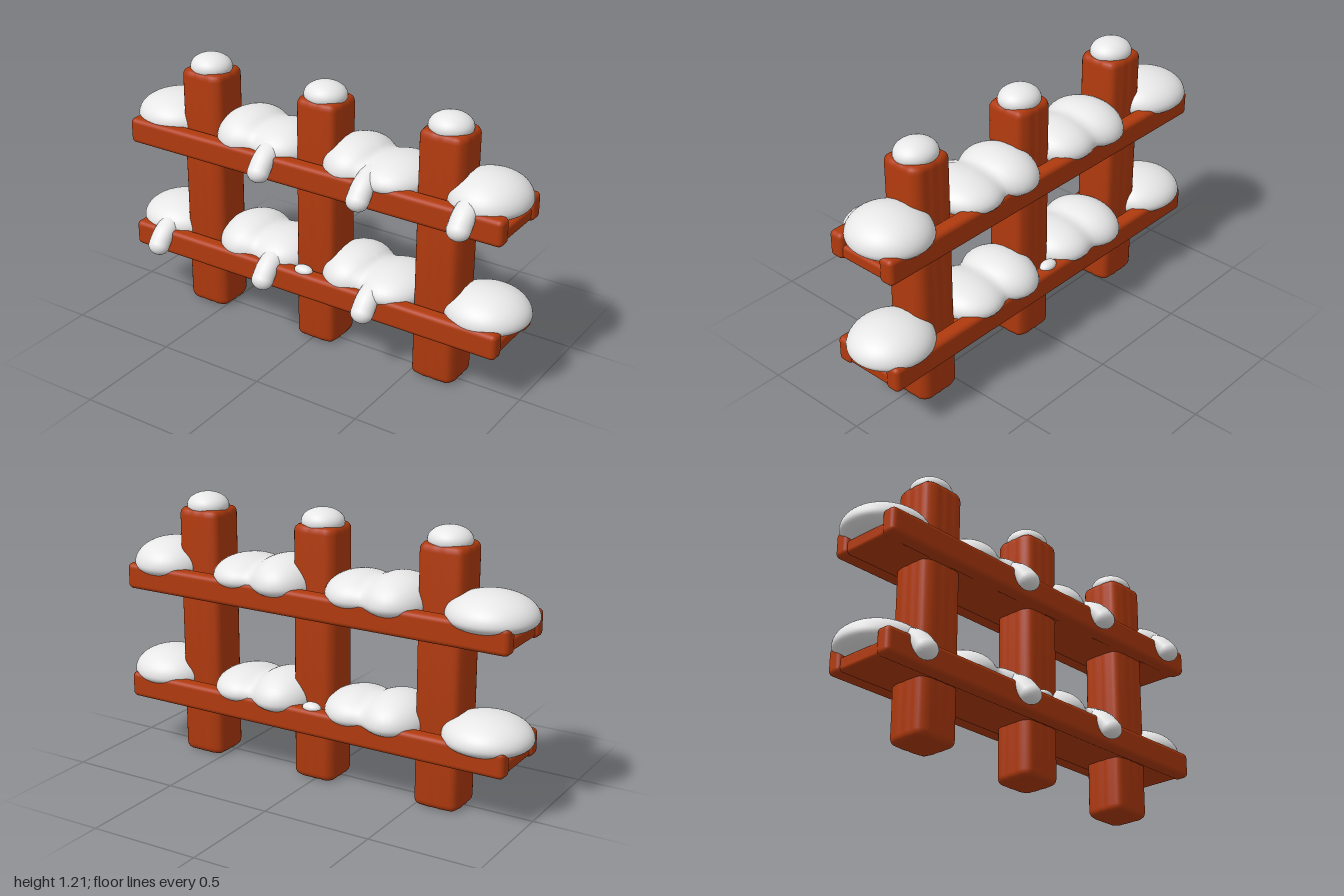
import * as THREE from 'three';
import { mergeVertices, toCreasedNormals } from 'three/addons/utils/BufferGeometryUtils.js';
import { RoundedBoxGeometry } from 'three/addons/geometries/RoundedBoxGeometry.js';

const wood = new THREE.MeshStandardMaterial({ color: 0xb03a0e });
wood.name = 'red brown wood';
const snow = new THREE.MeshStandardMaterial({ color: 0xe8e8e8 });
snow.name = 'snow white';

const POST_Z = -0.017;

function add(parent, name, geometry, material, x = 0, y = 0, z = 0) {
  const mesh = new THREE.Mesh(geometry, material);
  mesh.name = name;
  mesh.position.set(x, y, z);
  parent.add(mesh);
  return mesh;
}

// Weld vertices so that normals are smooth across seams
function weld(geometry) {
  geometry.deleteAttribute('uv');
  geometry.deleteAttribute('normal');
  const welded = mergeVertices(geometry, 1e-4);
  welded.computeVertexNormals();
  return welded;
}

// Rounded square post with shallow vertical grain grooves
function postGeometry(width, depth, height, seed) {
  const points = [];
  const n = 64;
  for (let i = 0; i < n; i++) {
    const a = (i / n) * Math.PI * 2;
    const c = Math.cos(a), s = Math.sin(a);
    const r = 1 / Math.pow(Math.abs(c) ** 5 + Math.abs(s) ** 5, 0.2);
    const groove = 1 - 0.012 * (1 + Math.sin(a * 13 + seed));
    points.push(new THREE.Vector2(c * r * groove * width / 2, s * r * groove * depth / 2));
  }
  const bevel = 0.03;
  const geometry = new THREE.ExtrudeGeometry(new THREE.Shape(points), {
    depth: height - bevel * 2, bevelThickness: bevel, bevelSize: 0.024, bevelOffset: -0.024,
    bevelSegments: 4, steps: 1,
  });
  geometry.translate(0, 0, bevel);
  geometry.rotateX(-Math.PI / 2);
  return toCreasedNormals(weld(geometry), 0.7);
}

// Snow drift: blended ellipsoids, flattened below, found by stepping out from the centre
function driftGeometry(blobs) {
  const centre = new THREE.Vector3();
  blobs.forEach((b) => centre.add(new THREE.Vector3(b.x, 0, b.z)));
  centre.divideScalar(blobs.length);
  const field = (p) => {
    let d = Infinity;
    for (const b of blobs) {
      const ry = p.y < 0 ? 0.065 : b.ry;
      const e = Math.hypot((p.x - b.x) / b.rx, p.y / ry, (p.z - b.z) / b.rz) - 1;
      if (d === Infinity) { d = e; continue; }
      const k = 0.25, h = Math.max(k - Math.abs(d - e), 0) / k;
      d = Math.min(d, e) - h * h * k / 4;
    }
    return d;
  };
  const geometry = new THREE.SphereGeometry(1, 56, 36);
  const pos = geometry.attributes.position;
  const dir = new THREE.Vector3(), p = new THREE.Vector3();
  for (let i = 0; i < pos.count; i++) {
    dir.fromBufferAttribute(pos, i);
    dir.set(dir.x * 0.25, dir.y * 0.11, dir.z * 0.19).normalize();
    let lo = 0, hi = 0.6;
    for (let j = 0; j < 24; j++) {
      const mid = (lo + hi) / 2;
      p.copy(centre).addScaledVector(dir, mid);
      if (field(p) < 0) lo = mid; else hi = mid;
    }
    p.copy(centre).addScaledVector(dir, lo);
    pos.setXYZ(i, p.x, p.y, p.z);
  }
  return weld(geometry);
}

// Hanging tongue of snow with a round tip
function addDrip(parent, x, y) {
  const drip = new THREE.Group();
  drip.name = 'snowDrip';
  const path = new THREE.CatmullRomCurve3([
    new THREE.Vector3(0, 0.025, 0.02), new THREE.Vector3(0, 0.01, 0.09),
    new THREE.Vector3(0, -0.022, 0.15), new THREE.Vector3(0, -0.066, 0.188),
  ]);
  add(drip, 'dripTongue', new THREE.TubeGeometry(path, 14, 0.043, 18), snow);
  add(drip, 'dripTip', new THREE.SphereGeometry(0.043, 18, 14), snow, 0, -0.066, 0.188);
  drip.position.set(x, y, 0);
  drip.scale.x = 1.2;
  parent.add(drip);
}

export function createModel() {
  const model = new THREE.Group();
  model.name = 'snowyFence';

  // Posts with snow caps
  [[-0.593, 0.215], [0.01, 0.205], [0.61, 0.212]].forEach(([x, width], i) => {
    add(model, 'post', postGeometry(width, 0.2, 1.145, i * 2), wood, x, 0, POST_Z);
    const cap = add(model, 'postSnowCap', new THREE.SphereGeometry(1, 32, 20), snow, x, 1.152, POST_Z);
    cap.scale.set(0.096, 0.06, 0.09);
  });

  // Middle drifts lie between the posts, end drifts overhang the rail ends
  const middleLeft = [
    { x: -0.385, z: -0.045, rx: 0.15, ry: 0.12, rz: 0.19 },
    { x: -0.2, z: -0.04, rx: 0.155, ry: 0.1, rz: 0.178 },
  ];
  const middleRight = [
    { x: 0.17, z: -0.045, rx: 0.148, ry: 0.12, rz: 0.19 },
    { x: 0.375, z: -0.03, rx: 0.155, ry: 0.09, rz: 0.188 },
  ];
  const levels = [
    {
      name: 'lowerRail', y: 0.24, drips: [-0.78, -0.19, 0.33],
      right: { x: 0.81, z: -0.035, rx: 0.188, ry: 0.112, rz: 0.18 },
    },
    {
      name: 'upperRail', y: 0.76, drips: [-0.2, 0.3, 0.77],
      right: { x: 0.79, z: -0.04, rx: 0.175, ry: 0.115, rz: 0.185 },
    },
  ];
  const left = { x: -0.805, z: -0.05, rx: 0.195, ry: 0.105, rz: 0.186 };

  for (const level of levels) {
    const rail = new THREE.Group();
    rail.name = level.name;
    rail.position.y = level.y;
    model.add(rail);

    // Two planks either side of the posts, with a lower board between them
    add(rail, 'frontPlank', new RoundedBoxGeometry(1.885, 0.118, 0.072, 4, 0.022), wood, -0.002, 0.059, 0.114);
    add(rail, 'backPlank', new RoundedBoxGeometry(1.885, 0.118, 0.072, 4, 0.022), wood, -0.002, 0.059, -0.164);
    add(rail, 'middleBoard', new RoundedBoxGeometry(1.865, 0.06, 0.25, 3, 0.015), wood, -0.002, 0.036, -0.025);

    // Snow
    for (const blobs of [[left], middleLeft, middleRight, [level.right]]) {
      add(rail, 'snowDrift', driftGeometry(blobs), snow, 0, 0.115, 0);
    }
    level.drips.forEach((x) => addDrip(rail, x, 0.118));
  }

  // Small leftover patches beside the middle post
  for (const z of [0.112, -0.16]) {
    const patch = add(model, 'snowPatch', new THREE.SphereGeometry(1, 20, 12), snow, -0.02, 0.36, z);
    patch.scale.set(0.045, 0.024, 0.03);
  }
  return model;
}
